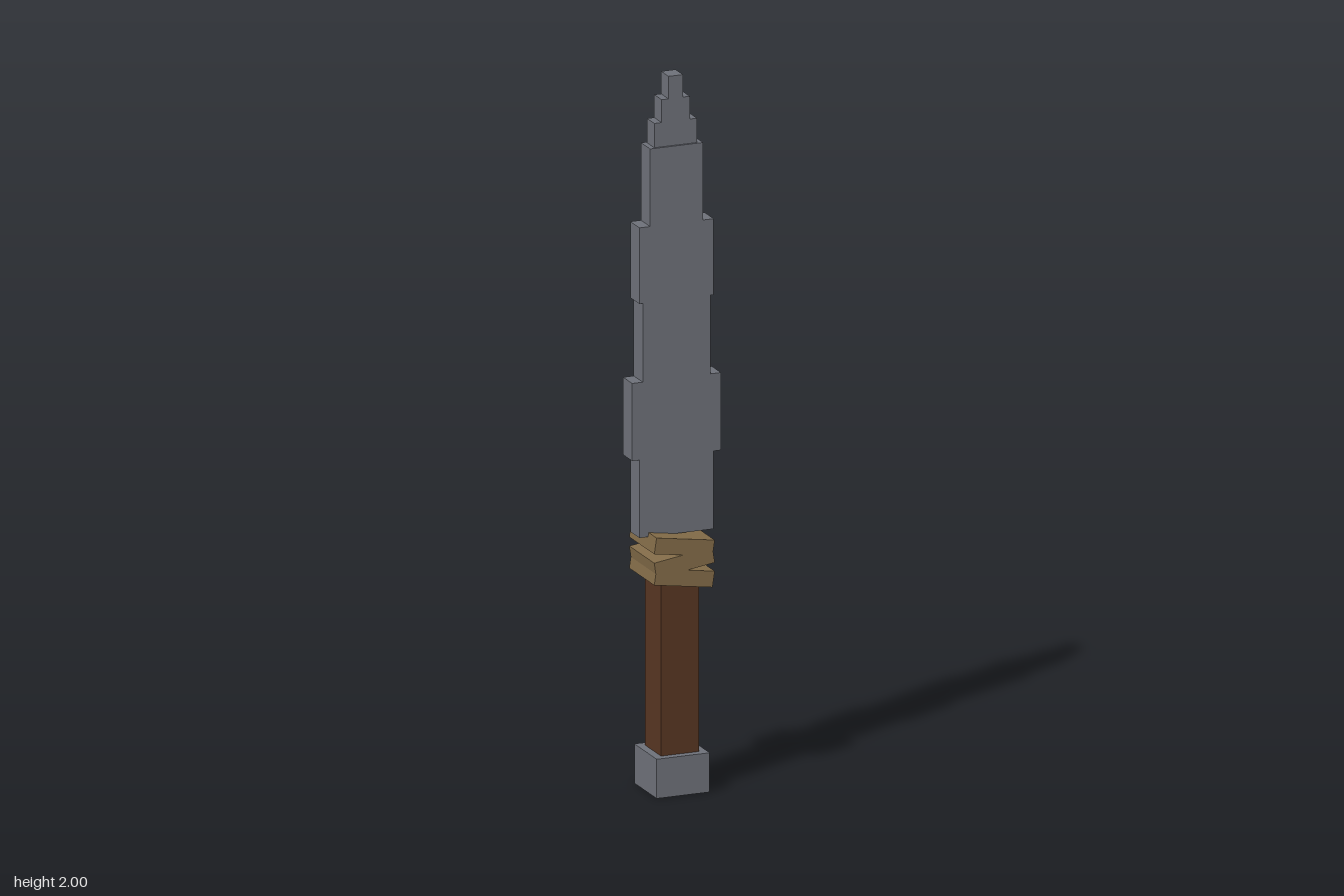
import * as THREE from 'three';

const material = (name, color) => {
  const m = new THREE.MeshStandardMaterial({ color });
  m.name = name;
  return m;
};

export function createModel() {
  const steel = material('steel', 0x6d7078);
  const wood = material('darkWood', 0x563522);
  const cord = material('tanCord', 0x826b48);
  const dagger = new THREE.Group();
  dagger.name = 'dagger';

  // Box spanning heights y0 to y1, centred on the vertical axis
  const block = (name, parent, mat, width, depth, y0, y1) => {
    const mesh = new THREE.Mesh(new THREE.BoxGeometry(width, y1 - y0, depth), mat);
    mesh.name = name;
    mesh.position.y = (y0 + y1) / 2;
    parent.add(mesh);
    return mesh;
  };

  block('pommel', dagger, steel, 0.154, 0.154, 0, 0.11);
  block('handle', dagger, wood, 0.11, 0.11, 0.11, 0.62);

  // Three wraps tilted alternately, forming a zigzag binding
  const binding = new THREE.Group();
  binding.name = 'binding';
  dagger.add(binding);
  [[0.61, -1], [0.653, 1], [0.697, -1]].forEach(([y, side], i) => {
    const wrap = block(`wrap${i + 1}`, binding, cord, 0.171, 0.172, y - 0.0225, y + 0.0225);
    wrap.rotation.z = side * 0.15;
  });

  // Stepped blade: half width, depth, bottom, top
  const blade = new THREE.Group();
  blade.name = 'blade';
  dagger.add(blade);
  const steps = [
    [0.108, 0.063, 0.72, 0.938],
    [0.129, 0.063, 0.938, 1.155],
    [0.098, 0.063, 1.155, 1.375],
    [0.108, 0.063, 1.375, 1.588],
    [0.077, 0.063, 1.588, 1.805],
    [0.062, 0.051, 1.805, 1.873],
    [0.041, 0.051, 1.873, 1.937],
    [0.021, 0.051, 1.937, 2],
  ];
  steps.forEach(([half, depth, y0, y1], i) =>
    block(`bladeStep${i + 1}`, blade, steel, half * 2, depth, y0, y1));

  return dagger;
}
